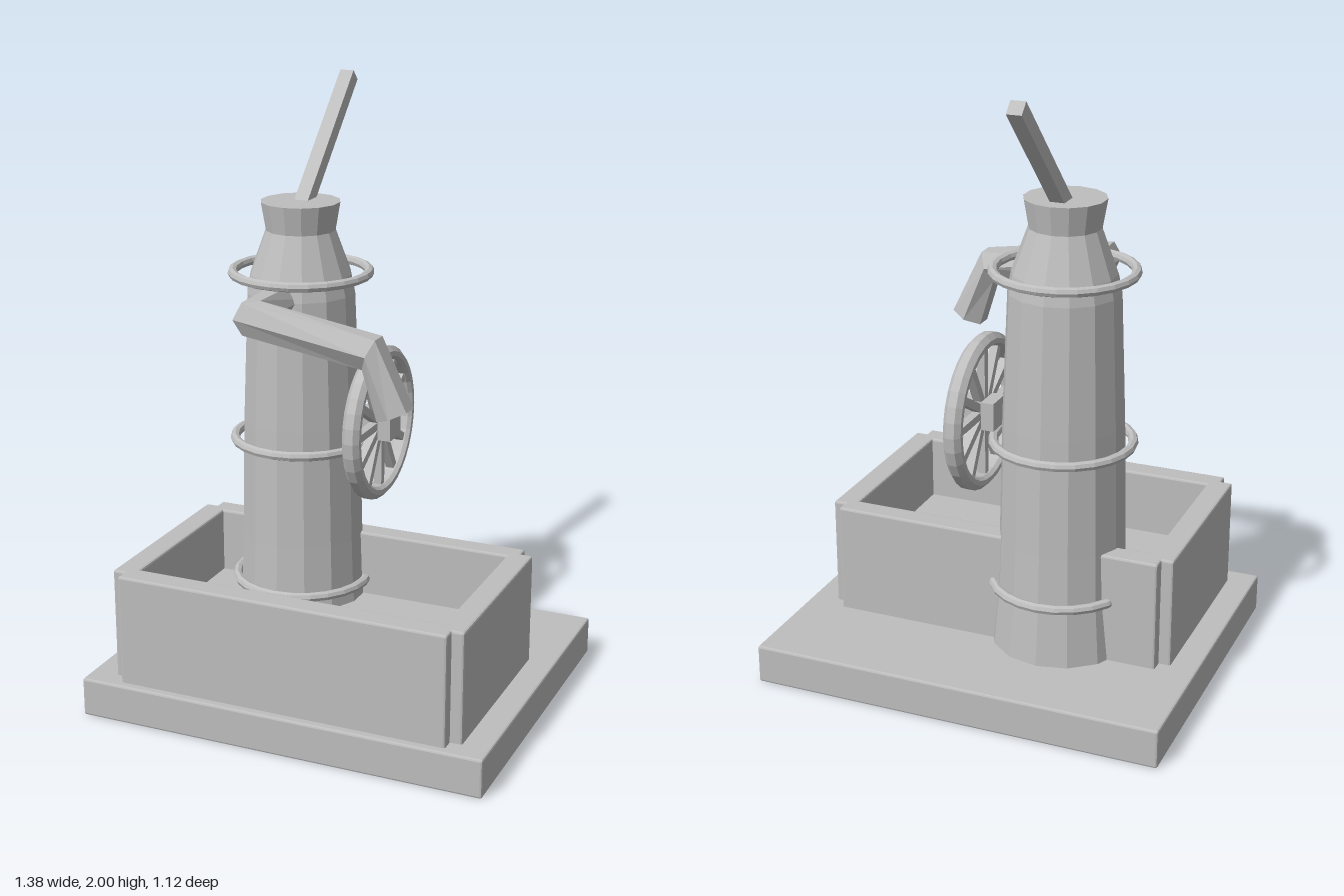
import * as THREE from 'three';
import { RoundedBoxGeometry } from 'three/addons/geometries/RoundedBoxGeometry.js';

const stone = new THREE.MeshStandardMaterial({ color: 0xbebebe, flatShading: true });
stone.name = 'grey';

function add(parent, name, geometry, x = 0, y = 0, z = 0) {
  const mesh = new THREE.Mesh(geometry, stone);
  mesh.name = name;
  mesh.position.set(x, y, z);
  parent.add(mesh);
  return mesh;
}

// Box given by its limits, with a slim bevel
function block(parent, name, x0, x1, y0, y1, z0, z1, bevel = 0.007) {
  const g = new RoundedBoxGeometry(x1 - x0, y1 - y0, z1 - z0, 1, bevel);
  return add(parent, name, g, (x0 + x1) / 2, (y0 + y1) / 2, (z0 + z1) / 2);
}

const lathe = (points, sides) =>
  new THREE.LatheGeometry(points.map(([r, y]) => new THREE.Vector2(r, y)), sides);

// Six-sided pipe lofted through sections [centre, side direction, up direction]
function hexPipe(sections, radius) {
  const pos = [], index = [], n = 6;
  for (const [c, u, v] of sections) {
    const centre = new THREE.Vector3(...c);
    const side = new THREE.Vector3(...u).normalize();
    const up = new THREE.Vector3(...v).normalize();
    for (let j = 0; j < n; j++) {
      const a = (j / n) * Math.PI * 2;
      const p = centre.clone()
        .addScaledVector(side, radius * Math.cos(a))
        .addScaledVector(up, radius * Math.sin(a));
      pos.push(p.x, p.y, p.z);
    }
  }
  const last = (sections.length - 1) * n;
  for (let i = 0; i < last; i += n) {
    for (let j = 0; j < n; j++) {
      const k = (j + 1) % n;
      index.push(i + j, i + k, i + n + k, i + j, i + n + k, i + n + j);
    }
  }
  for (let j = 1; j < n - 1; j++) index.push(last, last + j, last + j + 1);
  const g = new THREE.BufferGeometry();
  g.setAttribute('position', new THREE.Float32BufferAttribute(pos, 3));
  g.setIndex(index);
  g.computeVertexNormals();
  return g;
}

export function createModel() {
  const model = new THREE.Group();
  model.name = 'waterPump';

  // Plinth
  block(model, 'base', -0.69, 0.69, 0, 0.13, -0.56, 0.56);

  // Trough: four wall slabs with stepped corners, and a raised floor
  const trough = new THREE.Group();
  trough.name = 'trough';
  model.add(trough);
  block(trough, 'frontWall', -0.56, 0.56, 0.12, 0.5, 0.45, 0.532);
  block(trough, 'backWall', -0.56, 0.56, 0.12, 0.5, -0.207, -0.13);
  for (const s of [-1, 1]) {
    block(trough, s > 0 ? 'leftWall' : 'rightWall',
      s * 0.56 - 0.04, s * 0.56 + 0.04, 0.12, 0.5, -0.165, 0.49);
  }
  block(trough, 'troughFloor', -0.54, 0.54, 0.12, 0.28, -0.15, 0.47, 0.003);

  // Pump column
  const pump = new THREE.Group();
  pump.name = 'pump';
  pump.position.set(-0.2, 0, -0.1);
  model.add(pump);
  add(pump, 'column', lathe([
    [0, 0.12], [0.232, 0.12], [0.212, 0.33], [0.206, 0.5], [0.197, 0.9],
    [0.18, 1.33], [0.168, 1.39], [0.115, 1.535], [0.131, 1.628], [0, 1.628],
  ], 14));

  // Hoops around the column
  for (const y of [0.335, 0.83, 1.395]) {
    const hoop = add(pump, 'hoop', new THREE.TorusGeometry(0.224, 0.016, 8, 24), 0, y, 0);
    hoop.rotation.x = Math.PI / 2;
  }

  // Lever slanting up and back
  const lever = add(pump, 'lever', new THREE.BoxGeometry(0.048, 0.56, 0.048), 0, 1.785, -0.195);
  lever.rotation.x = -Math.PI / 4;

  // Bent spout
  add(model, 'spout', hexPipe([
    [[-0.2, 1.327, -0.02], [1, 0, 0], [0, 1, 0]],
    [[-0.2, 1.327, 0.27], [1, 0, -1], [0, 1, 0]],
    [[0.204, 1.26, 0.263], [0, 0, -1], [0.4, 0.92, 0]],
    [[0.281, 1.072, 0.263], [0, 0, -1], [0.925, 0.38, 0]],
  ], 0.061));

  // Spoked wheel, its axle along x
  const wheel = new THREE.Group();
  wheel.name = 'wheel';
  wheel.position.set(0.065, 0.9, -0.134);
  model.add(wheel);
  const rim = add(wheel, 'rim', lathe([
    [0.215, -0.018], [0.224, -0.03], [0.24, -0.03], [0.257, -0.014], [0.257, 0.014],
    [0.24, 0.03], [0.224, 0.03], [0.215, 0.018], [0.215, -0.018],
  ], 32));
  rim.rotation.z = Math.PI / 2;
  add(wheel, 'hub', new THREE.BoxGeometry(0.115, 0.094, 0.094));
  for (let i = 0; i < 12; i++) {
    const a = (i / 12) * Math.PI * 2;
    const spoke = add(wheel, 'spoke', new THREE.BoxGeometry(0.028, 0.2, 0.026),
      0, Math.cos(a) * 0.125, Math.sin(a) * 0.125);
    spoke.rotation.x = a;
  }

  return model;
}
